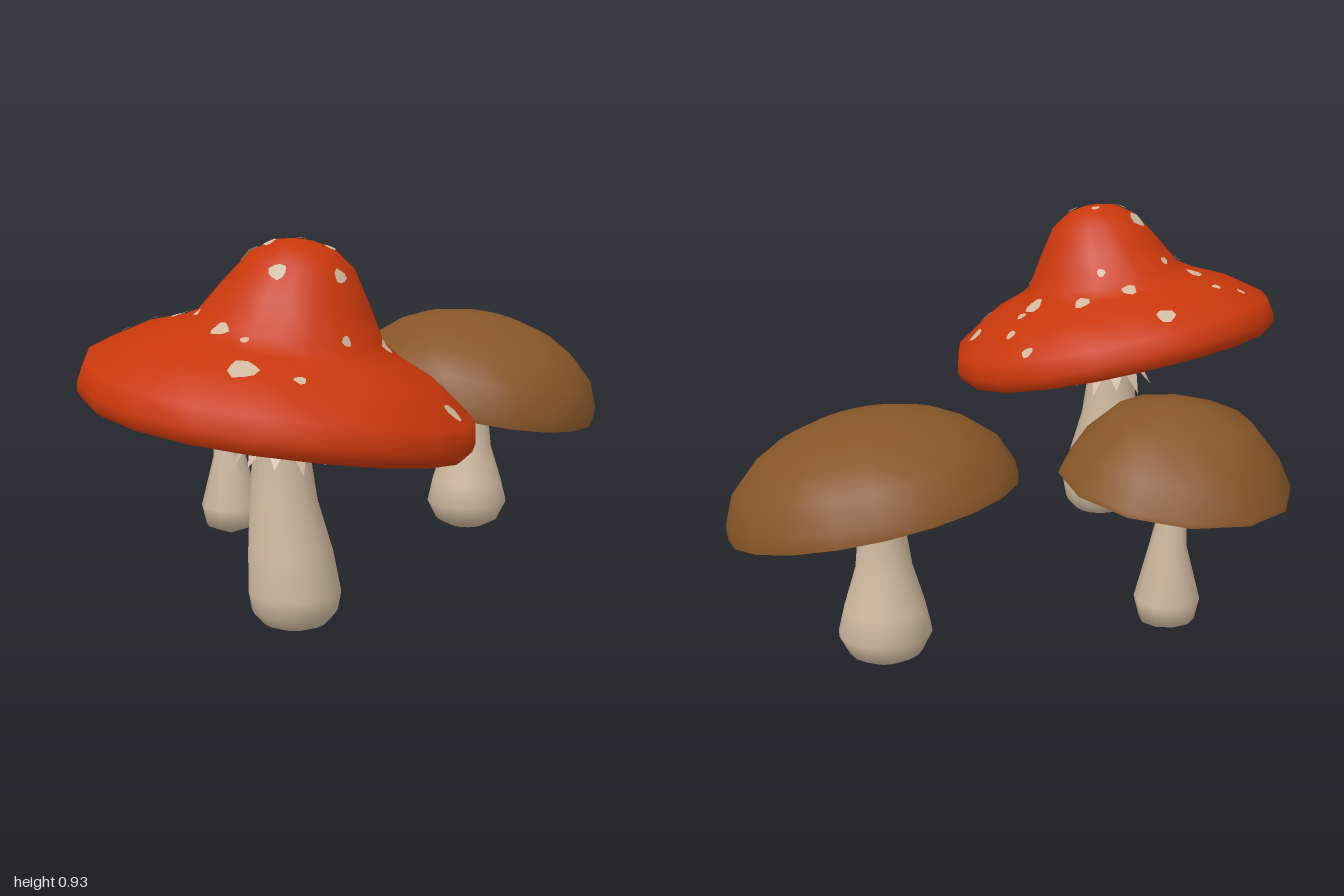
import * as THREE from 'three';

const mat = (name, color) => {
  const m = new THREE.MeshStandardMaterial({ color });
  m.name = name;
  return m;
};
const rad = THREE.MathUtils.degToRad;
const V = (list) => list.map(([r, y]) => new THREE.Vector2(r, y));

function add(group, name, geometry, material) {
  const mesh = new THREE.Mesh(geometry, material);
  mesh.name = name;
  group.add(mesh);
  return mesh;
}

// Stem: lathe from [y, radius, centreX, centreZ] rings, each ring shifted to its centre
function stemGeometry(rings, sides, start = 0, sweep = Math.PI * 2) {
  const geo = new THREE.LatheGeometry(V(rings.map(([y, r]) => [r, y])), sides, start, sweep);
  const p = geo.attributes.position;
  for (let i = 0; i < p.count; i++) {
    const [, , cx, cz] = rings[i % rings.length];
    p.setX(i, p.getX(i) + cx);
    p.setZ(i, p.getZ(i) + cz);
  }
  return geo;
}

// Cap: tilted, optionally twisted dome, closed below by a flat or hollow gill disc
function addCap(group, { profile, sides, tiltX = 0, tiltZ, at, twist = 0, hollow = 0, skin, gills }) {
  const dome = new THREE.LatheGeometry(V(profile), sides);
  const under = new THREE.LatheGeometry(V([[0, hollow], profile[0]]), sides);
  for (const g of [dome, under]) {
    const p = g.attributes.position;
    for (let i = 0; i < p.count; i++) p.setY(i, p.getY(i) + twist * p.getX(i) * p.getZ(i));
    g.rotateZ(rad(tiltZ)).rotateX(rad(tiltX)).translate(...at);
  }
  add(group, 'gills', under, gills);
  return add(group, 'cap', dome, skin);
}

// Wart: small round patch laid on the cap along its surface normal
function wartGeometry(cap, x, z, r, seed) {
  const ray = new THREE.Raycaster();
  const cast = (from, dir) => {
    ray.set(from, dir);
    return ray.intersectObject(cap)[0];
  };
  const hit = cast(new THREE.Vector3(x, 2, z), new THREE.Vector3(0, -1, 0));
  const normal = hit.face.normal.clone();
  const side = new THREE.Vector3(0, 0, 1).cross(normal).normalize();
  const up = normal.clone().cross(side);
  const centre = hit.point.clone().addScaledVector(normal, 0.004);
  const n = 9, pos = [...centre.toArray()], index = [];
  for (let i = 0; i < n; i++) {
    const a = (i / n) * Math.PI * 2;
    const k = r * (1 + 0.13 * Math.sin(seed * 2.3 + i * 2.1));
    const q = centre.clone().addScaledVector(side, Math.cos(a) * k).addScaledVector(up, Math.sin(a) * k);
    const h = cast(q.clone().addScaledVector(normal, 0.05), normal.clone().negate());
    if (h) q.copy(h.point).addScaledVector(h.face.normal, 0.004);
    pos.push(q.x, q.y, q.z);
    index.push(0, 1 + i, 1 + ((i + 1) % n));
  }
  const geo = new THREE.BufferGeometry();
  geo.setAttribute('position', new THREE.Float32BufferAttribute(pos, 3));
  geo.setIndex(index);
  geo.computeVertexNormals();
  return geo;
}

// Ragged skirt: a collar flaring into pointed teeth
function skirtGeometry(cx, cz, teeth) {
  const pos = [];
  const at = (i, r, y) => {
    const a = (i / teeth) * Math.PI * 2;
    return [cx + Math.sin(a) * r, y, cz + Math.cos(a) * r];
  };
  for (let i = 0; i < teeth; i++) {
    const t0 = at(i, 0.068, 0.55), t1 = at(i + 1, 0.068, 0.55);
    const m0 = at(i, 0.088, 0.465), m1 = at(i + 1, 0.088, 0.465);
    const tip = at(i + 0.5, 0.12, i % 2 ? 0.4 : 0.415);
    pos.push(...t0, ...m0, ...m1, ...t0, ...m1, ...t1, ...m0, ...tip, ...m1);
  }
  const geo = new THREE.BufferGeometry();
  geo.setAttribute('position', new THREE.Float32BufferAttribute(pos, 3));
  geo.computeVertexNormals();
  return geo;
}

export function createModel() {
  const model = new THREE.Group();
  model.name = 'mushrooms';
  const red = mat('red cap', 0xc8370a);
  const brown = mat('brown cap', 0x875628);
  const cream = mat('cream stem', 0xcfb99f);
  cream.side = THREE.DoubleSide;
  const cluster = (name) => {
    const g = new THREE.Group();
    g.name = name;
    model.add(g);
    return g;
  };

  // Large red mushroom
  const big = cluster('redMushroom');
  const cap = addCap(big, {
    profile: [[0.452, 0], [0.464, 0.014], [0.468, 0.036], [0.457, 0.085], [0.36, 0.148], [0.27, 0.184],
      [0.22, 0.215], [0.172, 0.295], [0.122, 0.371], [0.07, 0.406], [0.03, 0.415], [0, 0.416]],
    sides: 20, tiltX: -2, tiltZ: -10, at: [0.158, 0.52, 0.537], twist: 0.14, hollow: 0.07,
    skin: red, gills: cream,
  });
  add(big, 'stem', stemGeometry([[0.014, 0.045, 0.2, 0.52], [0.025, 0.075, 0.2, 0.52],
    [0.055, 0.102, 0.2, 0.52], [0.1, 0.11, 0.2, 0.52], [0.2, 0.1, 0.19, 0.522],
    [0.32, 0.08, 0.174, 0.526], [0.43, 0.068, 0.17, 0.53], [0.61, 0.06, 0.172, 0.53]], 16), cream);
  add(big, 'stemFoot', stemGeometry([[0.012, 0, 0.2, 0.52], [0.014, 0.045, 0.2, 0.52]], 16), brown);
  add(big, 'skirt', skirtGeometry(0.171, 0.53, 11), cream);

  // Warts: x, z, radius
  const warts = [
    [0.23, 0.11, 0.018], [0.32, 0.19, 0.016], [-0.11, 0.27, 0.026], [0.14, 0.27, 0.022],
    [0.03, 0.34, 0.021], [0.3, 0.295, 0.028], [0.325, 0.265, 0.014], [0.49, 0.3, 0.024],
    [-0.21, 0.575, 0.013], [-0.16, 0.51, 0.013], [-0.07, 0.57, 0.024], [0.095, 0.535, 0.026],
    [0.16, 0.57, 0.016], [0.2, 0.485, 0.012], [0.285, 0.515, 0.014], [0.41, 0.49, 0.02],
    [0.588, 0.53, 0.026], [0.22, 0.66, 0.02], [0.02, 0.655, 0.012], [0.12, 0.745, 0.022],
    [0.19, 0.77, 0.01], [0.23, 0.865, 0.034], [0.35, 0.835, 0.014], [0, 0.51, 0.012],
    [0.12, 0.35, 0.012], [0.335, 0.58, 0.017], [0.375, 0.64, 0.013],
  ];
  cap.updateMatrixWorld(true);
  warts.forEach(([x, z, r], i) => add(big, 'wart', wartGeometry(cap, x, z, r, i), cream));

  // Medium brown mushroom
  const mid = cluster('backBrownMushroom');
  addCap(mid, {
    profile: [[0.354, 0], [0.352, 0.035], [0.322, 0.105], [0.262, 0.16], [0.19, 0.2], [0.1, 0.226], [0, 0.233]],
    sides: 20, tiltZ: -12, at: [0.26, 0.395, -0.645], skin: brown, gills: cream,
  });
  add(mid, 'stem', stemGeometry([[0, 0, 0.245, -0.642], [0.004, 0.05, 0.245, -0.642],
    [0.025, 0.09, 0.245, -0.642], [0.075, 0.115, 0.245, -0.642], [0.14, 0.1, 0.244, -0.642],
    [0.24, 0.07, 0.243, -0.642], [0.32, 0.06, 0.245, -0.642], [0.42, 0.055, 0.25, -0.642]], 16), cream);
  add(mid, 'stemPatch', stemGeometry([[0.36, 0.061, 0.247, -0.642], [0.4, 0.059, 0.249, -0.642]],
    3, 2.0, 0.8), brown);

  // Small brown mushroom
  const small = cluster('sideBrownMushroom');
  addCap(small, {
    profile: [[0.29, 0], [0.287, 0.012], [0.25, 0.08], [0.17, 0.166], [0.06, 0.197], [0, 0.2]],
    sides: 12, tiltZ: 7, at: [-0.342, 0.414, -0.222], skin: brown, gills: cream,
  });
  add(small, 'stem', stemGeometry([[0.018, 0, -0.32, -0.215], [0.045, 0.07, -0.32, -0.215],
    [0.1, 0.083, -0.32, -0.215], [0.24, 0.047, -0.322, -0.215], [0.35, 0.032, -0.335, -0.215],
    [0.43, 0.026, -0.338, -0.215]], 10), cream);
  add(small, 'stemPatch', stemGeometry([[0.375, 0.034, -0.337, -0.215], [0.415, 0.031, -0.338, -0.215]],
    3, -1.3, 1.3), brown);

  return model;
}
